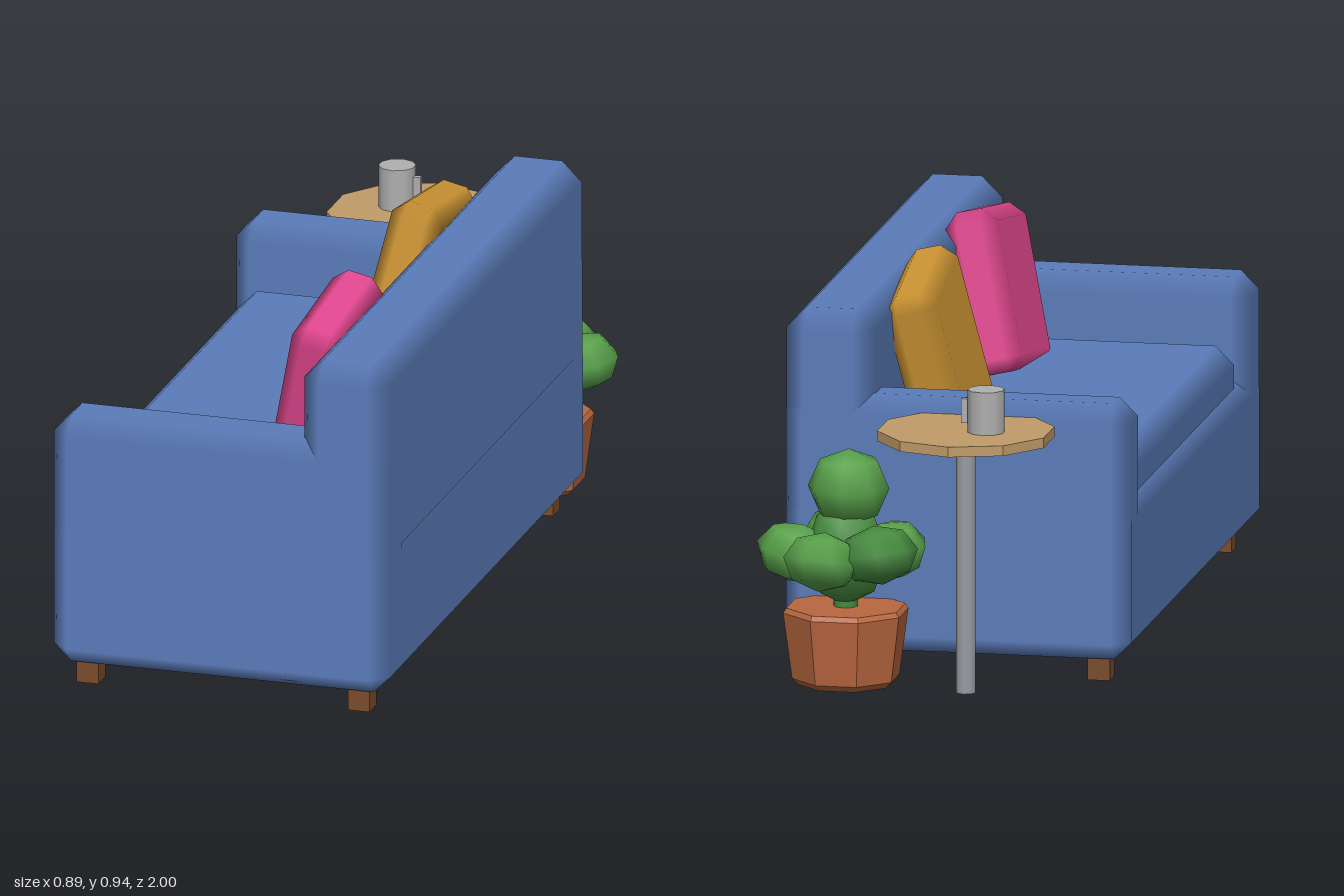
import * as THREE from 'three';
import { ConvexGeometry } from 'three/addons/geometries/ConvexGeometry.js';

const mat = (color, flatShading = false) => new THREE.MeshStandardMaterial({ color, flatShading });

// Box with chamfered edges; corner normals follow the flat faces so chamfers shade softly
function chamferBox(w, h, d, c) {
  const half = [w / 2, h / 2, d / 2];
  const points = [];
  for (const sx of [-1, 1]) for (const sy of [-1, 1]) for (const sz of [-1, 1]) {
    for (let axis = 0; axis < 3; axis++) {
      const p = [sx, sy, sz].map((s, i) => s * (half[i] - (i === axis ? 0 : c)));
      points.push(new THREE.Vector3(...p));
    }
  }
  const geo = new ConvexGeometry(points);
  const pos = geo.attributes.position;
  for (let i = 0; i < pos.count; i++) {
    const p = [pos.getX(i), pos.getY(i), pos.getZ(i)];
    const n = p.map((v, k) => (Math.abs(Math.abs(v) - half[k]) < 1e-5 ? Math.sign(v) : 0));
    geo.attributes.normal.setXYZ(i, ...n);
  }
  return geo;
}

export function createModel() {
  const model = new THREE.Group();
  model.name = 'sofaSet';

  const add = (name, geo, material, x = 0, y = 0, z = 0, parent = model) => {
    const mesh = new THREE.Mesh(geo, material);
    mesh.name = name;
    mesh.position.set(x, y, z);
    parent.add(mesh);
    return mesh;
  };
  const group = (name, x = 0, z = 0) => {
    const g = new THREE.Group();
    g.name = name;
    g.position.set(x, 0, z);
    model.add(g);
    return g;
  };

  // Sofa, with its backrest on the +x side
  const sofa = group('sofa');
  const blue = mat(0x5b7cba);
  const block = (name, [x0, x1], [y0, y1], [z0, z1], c) =>
    add(name, chamferBox(x1 - x0, y1 - y0, z1 - z0, c), blue,
      (x0 + x1) / 2, (y0 + y1) / 2, (z0 + z1) / 2, sofa);
  block('base', [-0.45, 0.4], [0.055, 0.44], [-0.64, 1], 0.043);
  block('backrest', [0.18, 0.4], [0.36, 0.89], [-0.64, 1], 0.05);
  block('rearArm', [-0.45, 0.4], [0.33, 0.685], [-0.64, -0.475], 0.045);
  block('frontArm', [-0.45, 0.4], [0.33, 0.685], [0.825, 1], 0.045);
  block('seatCushion', [-0.42, 0.22], [0.38, 0.53], [-0.49, 0.84], 0.045);

  // Feet
  const footMat = mat(0x7a4c2b, true);
  for (const x of [-0.367, 0.317]) for (const z of [-0.562, 0.922])
    add('foot', new THREE.BoxGeometry(0.055, 0.08, 0.055), footMat, x, 0.04, z, sofa);

  // Throw pillows leaning on the backrest
  const pillow = (name, color, y, z, height, width, roll) => {
    const mesh = add(name, chamferBox(0.13, height, width, 0.035), mat(color), 0.107, y, z);
    mesh.rotation.set(roll, 0, -0.22, 'ZYX');
  };
  pillow('pinkPillow', 0xe0468e, 0.705, 0.535, 0.4, 0.37, 0.16);
  pillow('yellowPillow', 0xcc9433, 0.71, -0.19, 0.41, 0.39, -0.17);

  // Side table with a mug
  const table = group('sideTable', -0.08, -0.785);
  const grey = mat(0x9a9ca2);
  add('tableTop', new THREE.CylinderGeometry(0.215, 0.215, 0.025, 10), mat(0xc09c69, true), 0, 0.637, 0, table);
  add('tableLeg', new THREE.CylinderGeometry(0.024, 0.024, 0.63, 10), grey, 0, 0.315, 0, table);
  const mugMat = mat(0xb0b0b0);
  add('mug', new THREE.CylinderGeometry(0.045, 0.045, 0.107, 10), mugMat, -0.055, 0.701, -0.025, table);
  add('mugHandle', new THREE.BoxGeometry(0.03, 0.06, 0.014), mugMat, -0.009, 0.7, -0.025, table);

  // Potted plant
  const plant = group('pottedPlant', 0.225, -0.735);
  const profile = [[0, 0], [0.115, 0], [0.132, 0.016], [0.154, 0.178], [0.146, 0.19], [0, 0.19]]
    .map(([r, y]) => new THREE.Vector2(r, y));
  const pot = add('pot', new THREE.LatheGeometry(profile, 8), mat(0xb9673f, true), 0, 0, 0, plant);
  pot.rotation.y = Math.PI / 8;

  // Foliage: a crown over a ring of flattened, outward-tilted clumps
  const clump = new THREE.SphereGeometry(0.1, 8, 4);
  const greens = [mat(0x58a04a), mat(0x478c40)];
  add('crownLeaves', clump, greens[0], -0.005, 0.48, 0.01, plant).scale.set(1, 0.95, 1);
  add('innerLeaves', clump, greens[1], 0, 0.32, 0, plant).scale.set(1, 1.3, 1);
  const ring = 5;
  for (let i = 0; i < ring; i++) {
    const a = (i / ring) * Math.PI * 2;
    const leaf = add('leafClump', clump, greens[i % 2],
      0.118 * Math.cos(a), 0.32 + 0.015 * (i % 2), -0.02 + 0.1 * Math.sin(a), plant);
    leaf.scale.set(1, 0.72, 0.95);
    leaf.rotation.set(0, -a, 0.25, 'YXZ');
  }
  add('stem', new THREE.CylinderGeometry(0.03, 0.03, 0.14, 8), greens[1], 0, 0.22, 0, plant);

  return model;
}
